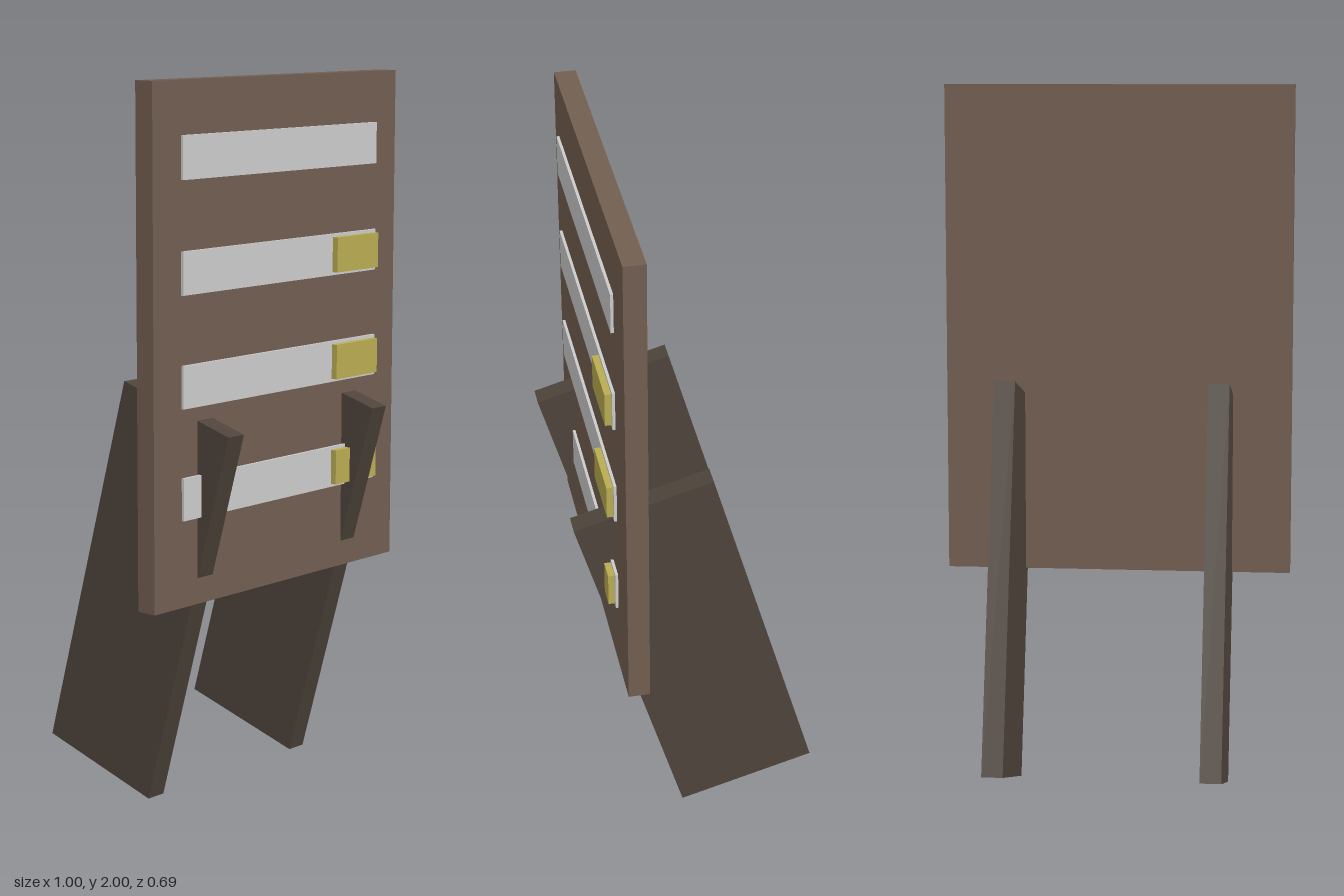
import * as THREE from 'three';

const material = (color) => new THREE.MeshStandardMaterial({ color });

export function createModel() {
  const model = new THREE.Group();
  model.name = 'signBoard';

  const wood = material(0x725e50);
  const darkWood = material(0x4e443b);
  const grey = material(0xcccccc);
  const yellow = material(0xbaac52);

  const box = (name, size, position, mat) => {
    const mesh = new THREE.Mesh(new THREE.BoxGeometry(...size), mat);
    mesh.name = name;
    mesh.position.set(...position);
    model.add(mesh);
    return mesh;
  };

  // Upright board
  box('board', [1, 1.405, 0.06], [0, 1.2975, 0.2], wood);

  // Rows of strips; all but the top one carry a tag at the left end
  for (let i = 0; i < 4; i++) {
    const y = 1.8 - i * 0.302;
    box('strip', [0.8, 0.116, 0.008], [0, y, 0.24], grey);
    if (i > 0) box('tag', [0.18, 0.098, 0.018], [0.3, y, 0.253], yellow);
  }

  // Two slanted plank legs passing through the board
  for (const side of [-1, 1]) {
    const leg = box(side > 0 ? 'leftLeg' : 'rightLeg', [0.06, 1.106, 0.4], [side * 0.302, 0.588, 0], darkWood);
    leg.rotation.x = THREE.MathUtils.degToRad(15.8);
  }

  return model;
}
